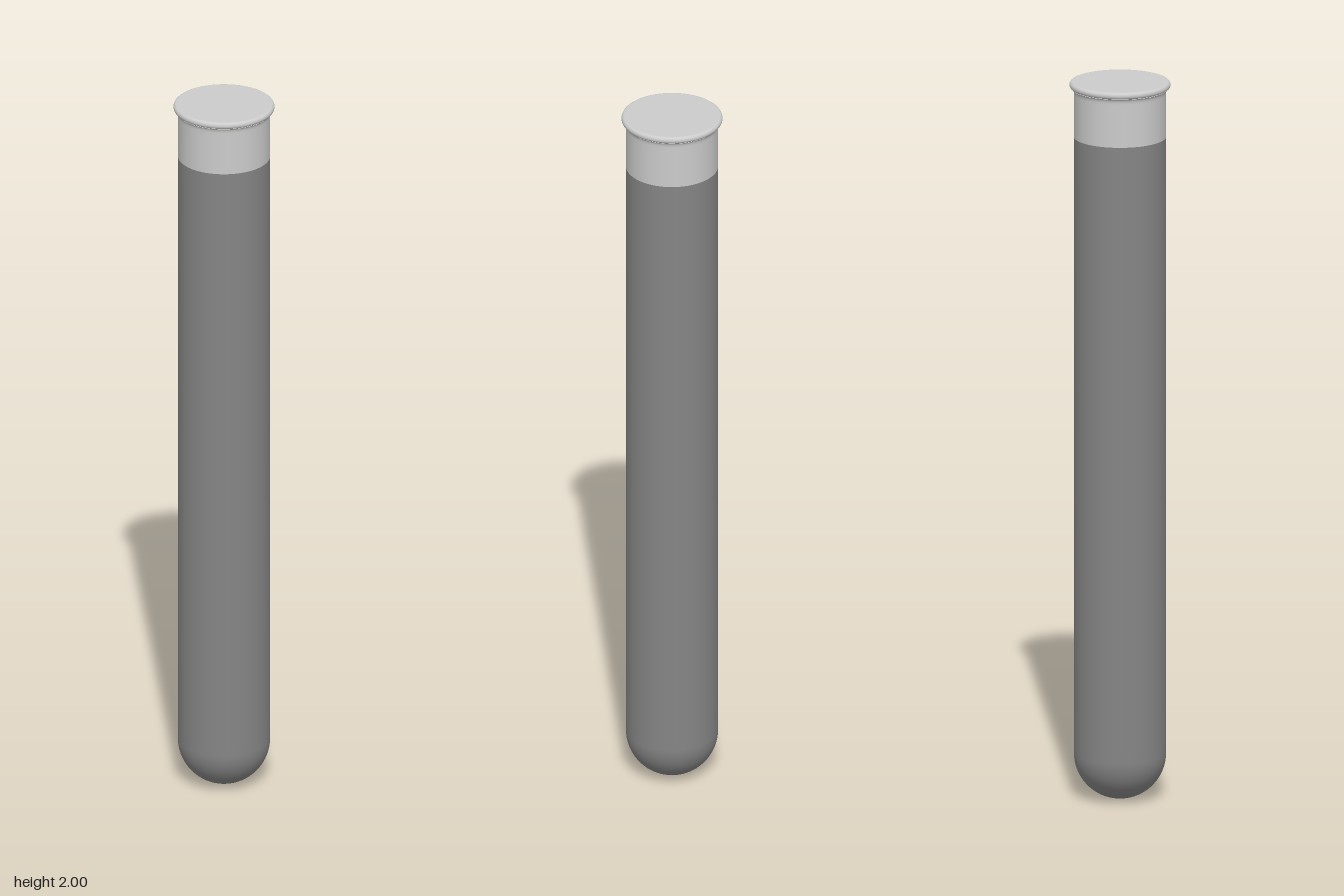
import * as THREE from 'three';

const SEGMENTS = 64;
const RADIUS = 0.125;

export function createModel() {
  const model = new THREE.Group();
  model.name = 'testTube';

  const paleGrey = new THREE.MeshStandardMaterial({ color: 0xcccccc });
  const darkGrey = new THREE.MeshStandardMaterial({ color: 0x858585 });

  const add = (name, geometry, material) => {
    const mesh = new THREE.Mesh(geometry, material);
    mesh.name = name;
    model.add(mesh);
    return mesh;
  };
  const lathe = (points) => new THREE.LatheGeometry(points, SEGMENTS);
  const v = (x, y) => new THREE.Vector2(x, y);

  // Filled lower tube: hemispherical bottom running into a straight wall
  const body = [];
  for (let i = 0; i <= 20; i++) {
    const a = (i / 20) * Math.PI / 2;
    body.push(v(RADIUS * Math.sin(a), RADIUS * (1 - Math.cos(a))));
  }
  body.push(v(RADIUS, 0.15), v(RADIUS, 1.845));
  add('filledBody', lathe(body), darkGrey);

  // Empty neck above the fill line, flaring slightly under the lip
  const flare = new THREE.QuadraticBezierCurve(v(RADIUS, 1.965), v(RADIUS, 1.98), v(0.133, 1.981));
  add('neck', lathe([v(RADIUS, 1.845), v(RADIUS, 1.95), ...flare.getPoints(6)]), paleGrey);

  // Rounded lip
  const lip = [];
  for (let i = 0; i <= 12; i++) {
    const a = -Math.PI / 2 + (i / 12) * Math.PI;
    lip.push(v(0.1285 + 0.0085 * Math.cos(a), 1.9905 + 0.0095 * Math.sin(a)));
  }
  add('lip', lathe(lip), paleGrey);

  // Flat closed top
  const top = add('topCap', new THREE.CircleGeometry(0.1285, SEGMENTS), paleGrey);
  top.rotation.x = -Math.PI / 2;
  top.position.y = 2;

  return model;
}
